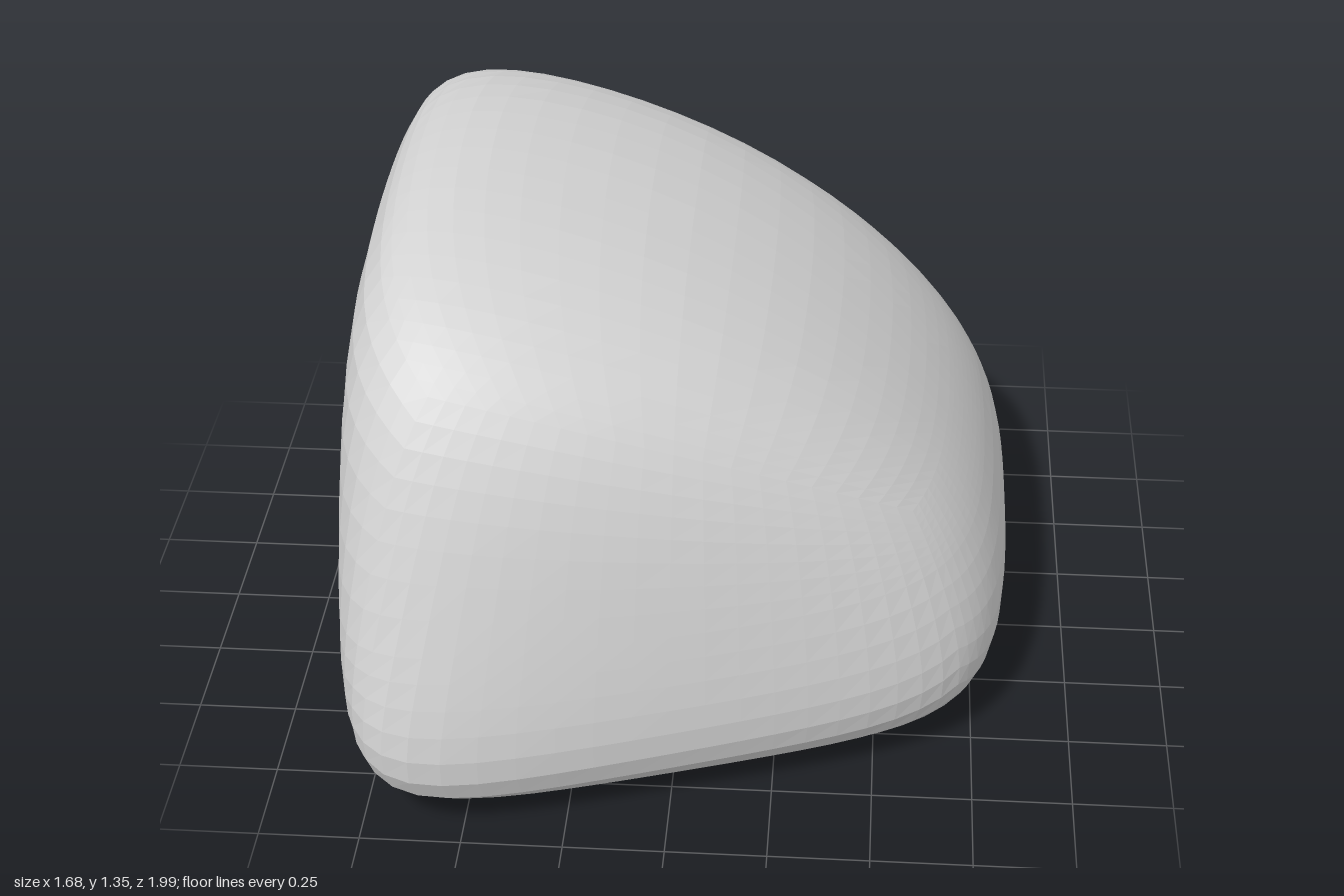
import * as THREE from 'three';

// Soft intersection of bounding sides: negative inside the boulder
const SOFT = 7;
function field(x, y, z) {
  const dz = z + 0.12;
  const roof = 1.185 - 0.465 * x - 0.31 * x * x - 0.116 * x ** 3
    - 0.03 * dz - 0.14 * dz * dz - 0.12 * dz ** 4;
  const rise = y - 0.2;
  const front = 0.89 - 0.32 * x + rise * (0.13 * rise - 0.27 + 0.1 * x - 0.2 * x * x);
  const sides = [
    -x - 0.845,          // left wall
    x - 0.91,            // right wall
    -z - 1.008,          // back wall
    -y - 0.002,          // underside
    (y - roof) / 1.15,   // domed, sloping roof
    (z - front) / 1.06,  // slanted front with a spreading toe
  ];
  return Math.log(sides.reduce((sum, s) => sum + Math.exp(SOFT * s), 0)) / SOFT;
}

export function createModel() {
  const group = new THREE.Group();
  group.name = 'boulder';
  const stone = new THREE.MeshStandardMaterial({ color: 0xd2d2d2, flatShading: true });
  stone.name = 'grey stone';

  const geometry = new THREE.BoxGeometry(1.68, 1, 1.9, 20, 16, 22);
  const pos = geometry.attributes.position;
  const centre = new THREE.Vector3(0, 0.5, 0);
  const dir = new THREE.Vector3();
  const point = new THREE.Vector3();
  for (let i = 0; i < pos.count; i++) {
    dir.fromBufferAttribute(pos, i);
    // Skew the box so that its edges follow the boulder's own edges
    if (dir.y > 0) dir.y *= 1.05 - 0.77 * dir.x;
    if (dir.z > 0) dir.z *= 0.85 - 0.24 * dir.x;
    // Slide the point along its ray onto the soft surface
    let inside = 0, outside = 3;
    for (let n = 0; n < 30; n++) {
      const mid = (inside + outside) / 2;
      point.copy(centre).addScaledVector(dir, mid);
      if (field(point.x, point.y, point.z) < 0) inside = mid;
      else outside = mid;
    }
    pos.setXYZ(i, point.x, point.y, point.z);
  }
  geometry.computeVertexNormals();
  geometry.clearGroups();

  const rock = new THREE.Mesh(geometry, stone);
  rock.name = 'rock';
  group.add(rock);
  return group;
}
